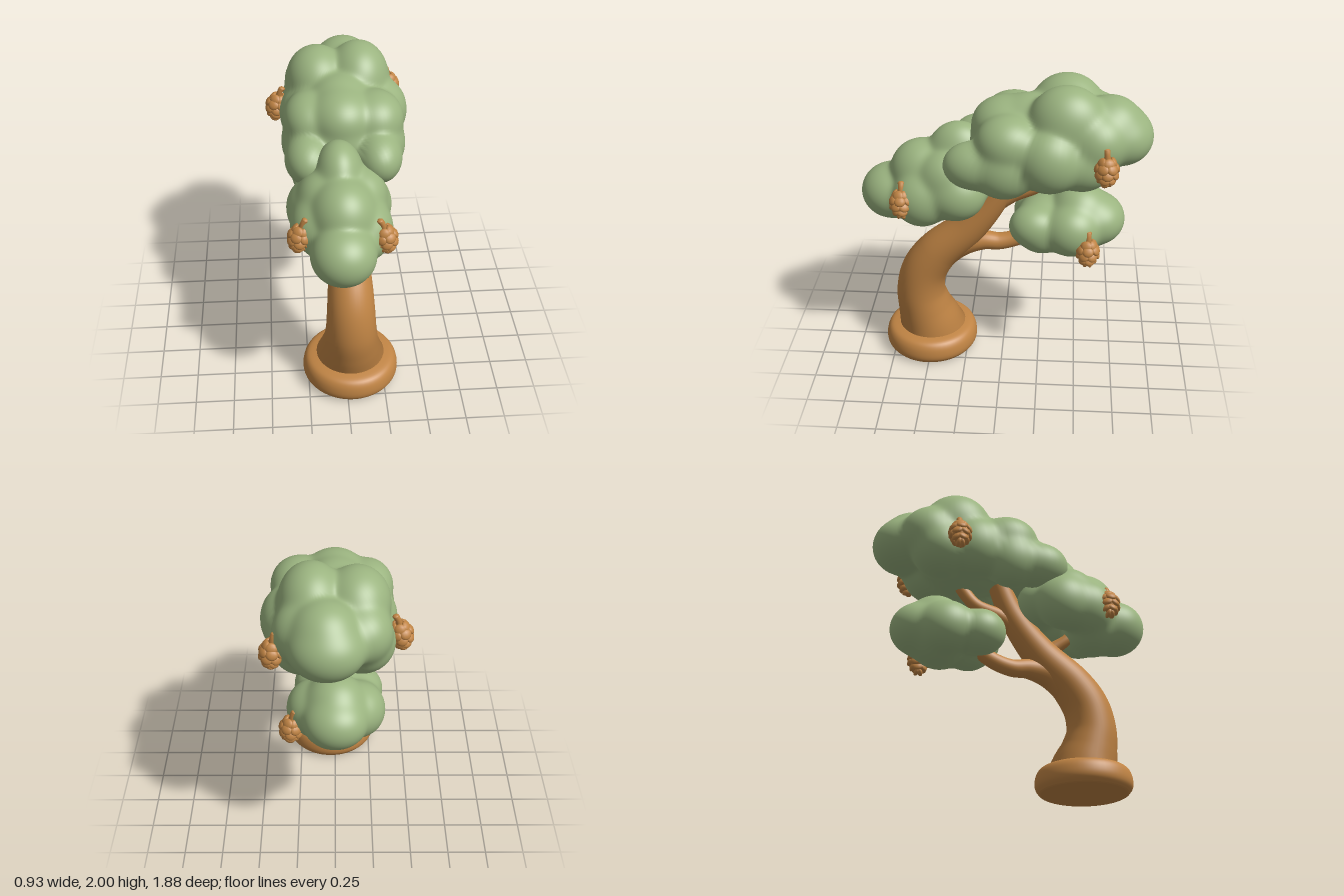
import * as THREE from 'three';

const material = (name, color) => Object.assign(new THREE.MeshStandardMaterial({ color }), { name });
const wood = material('wood', 0xc08444);
const leaf = material('leaf', 0x9bb480);

function add(parent, name, geometry, mat) {
  const mesh = new THREE.Mesh(geometry, mat);
  mesh.name = name;
  parent.add(mesh);
  return mesh;
}

// Tube along rows of [x, y, z, radius], with the radius varying smoothly
function taperedTube(rows, segments = 40, sides = 28) {
  const curve = new THREE.CatmullRomCurve3(rows.map(([x, y, z]) => new THREE.Vector3(x, y, z)));
  const radii = new THREE.SplineCurve(rows.map((r, i) => new THREE.Vector2(i, r[3])));
  const geometry = new THREE.TubeGeometry(curve, segments, 1, sides, false);
  const pos = geometry.attributes.position;
  const v = new THREE.Vector3();
  for (let i = 0; i <= segments; i++) {
    const centre = curve.getPointAt(i / segments);
    const radius = radii.getPoint(curve.getUtoTmapping(i / segments)).y;
    for (let j = 0; j <= sides; j++) {
      const k = i * (sides + 1) + j;
      v.fromBufferAttribute(pos, k).sub(centre).multiplyScalar(radius).add(centre);
      pos.setXYZ(k, v.x, v.y, v.z);
    }
  }
  return geometry;
}

// Soft union of ellipsoids [x, y, z, rx, ry, rz]: a skin is shrunk onto them around the spine from a to b
function foliage(rows, a, b) {
  const sharpness = 60;
  const distance = (p) => {
    let sum = 0;
    for (const [x, y, z, rx, ry, rz] of rows) {
      const q = Math.hypot((p.x - x) / rx, (p.y - y) / ry, (p.z - z) / rz);
      sum += Math.exp(-sharpness * (q - 1) * Math.min(rx, ry, rz));
    }
    return -Math.log(sum + 1e-30) / sharpness;
  };
  const mid = new THREE.Vector3(...a).lerp(new THREE.Vector3(...b), 0.5);
  const half = new THREE.Vector3(...b).sub(mid);
  const axis = half.clone().normalize();
  const geometry = new THREE.SphereGeometry(1, 128, 88);
  const { position, normal } = geometry.attributes;
  const dir = new THREE.Vector3(), root = new THREE.Vector3(), p = new THREE.Vector3(), n = new THREE.Vector3();
  for (let i = 0; i < position.count; i++) {
    dir.fromBufferAttribute(position, i).normalize();
    root.copy(mid).addScaledVector(half, dir.dot(axis));
    let reach = 0.7;
    for (let step = 0; step < 60; step++) {
      const d = distance(p.copy(root).addScaledVector(dir, reach));
      if (d < 0.0005) break;
      reach = Math.max(0.02, reach - d * 0.85);
    }
    position.setXYZ(i, p.x, p.y, p.z);
    const here = distance(p);
    for (const c of ['x', 'y', 'z']) {
      p[c] += 0.001;
      n[c] = distance(p) - here;
      p[c] -= 0.001;
    }
    n.normalize();
    normal.setXYZ(i, n.x, n.y, n.z);
  }
  return geometry;
}

// Hanging cone with staggered rings of overlapping scales and a short stem
function pineCone() {
  const cone = new THREE.Group();
  cone.name = 'pineCone';
  add(cone, 'coneCore', new THREE.SphereGeometry(1, 18, 14).scale(0.064, 0.082, 0.064), wood);
  const rings = [[0.054, 0.04, 5], [0.022, 0.058, 6], [-0.016, 0.055, 6], [-0.05, 0.037, 5], [-0.078, 0.008, 2]];
  rings.forEach(([y, radius, count], ring) => {
    for (let i = 0; i < count; i++) {
      const a = ((i + (ring % 2) / 2) / count) * Math.PI * 2;
      const scale = add(cone, 'coneScale', new THREE.SphereGeometry(1, 12, 8).scale(0.037, 0.034, 0.018), wood);
      scale.position.set(Math.sin(a) * radius, y, Math.cos(a) * radius);
      scale.rotation.set(-0.45, a, 0, 'YXZ');
    }
  });
  add(cone, 'coneStem', taperedTube([[0, 0.05, 0, 0.032], [0, 0.085, 0, 0.02], [-0.003, 0.108, 0, 0.019], [-0.01, 0.127, 0, 0.021]], 10, 12), wood);
  add(cone, 'stemTip', new THREE.SphereGeometry(1, 12, 8).scale(0.021, 0.012, 0.021), wood).position.set(-0.01, 0.127, 0);
  return cone;
}

export function createModel() {
  const tree = new THREE.Group();
  tree.name = 'leaningTree';

  // Rounded foot
  const rim = new THREE.SplineCurve([[0.29, 0.005], [0.312, 0.035], [0.317, 0.075], [0.306, 0.125], [0.278, 0.158], [0.22, 0.172]]
    .map(([r, y]) => new THREE.Vector2(r, y))).getPoints(24);
  add(tree, 'foot', new THREE.LatheGeometry([...rim, new THREE.Vector2(0, 0.172)], 56), wood).position.set(0.033, 0, 0.505);
  add(tree, 'sole', new THREE.CylinderGeometry(0.29, 0.28, 0.005, 56), wood).position.set(0.033, 0.0025, 0.505);

  // Curved trunk and branches
  add(tree, 'trunk', taperedTube([
    [0.033, 0.1, 0.505, 0.255], [0.033, 0.19, 0.52, 0.217], [0.033, 0.3, 0.55, 0.185], [0.033, 0.43, 0.57, 0.166],
    [0.033, 0.59, 0.54, 0.155], [0.033, 0.74, 0.445, 0.142], [0.03, 0.95, 0.22, 0.118], [0.02, 1.2, 0.03, 0.09], [0.01, 1.45, -0.08, 0.075],
  ], 72, 40), wood);
  add(tree, 'upperBranch', taperedTube([[0.02, 1.1, 0.09, 0.07], [0.02, 1.19, -0.06, 0.056], [0.03, 1.26, -0.22, 0.045], [0.04, 1.35, -0.3, 0.045], [0.04, 1.48, -0.38, 0.045]]), wood);
  add(tree, 'lowerBranch', taperedTube([[0.033, 0.66, 0.47, 0.1], [0.03, 0.8, 0.3, 0.094], [0.02, 0.83, 0.14, 0.068], [0.01, 0.82, 0.02, 0.058], [0, 0.86, -0.12, 0.054], [0, 0.97, -0.27, 0.05]]), wood);
  add(tree, 'frontBranch', taperedTube([[0.02, 0.9, 0.2, 0.07], [0.01, 0.99, 0.31, 0.05], [-0.01, 1.06, 0.4, 0.038], [-0.02, 1.16, 0.48, 0.038]]), wood);

  // Leaf clouds
  add(tree, 'topFoliage', foliage([
    [-0.21, 1.49, 0.16, 0.15, 0.155, 0.19], [0.23, 1.5, 0.17, 0.145, 0.155, 0.195], [0, 1.55, 0.04, 0.2, 0.18, 0.18],
    [-0.22, 1.5, -0.04, 0.155, 0.19, 0.19], [0.26, 1.49, -0.02, 0.155, 0.19, 0.2],
    [0, 1.69, -0.01, 0.2, 0.175, 0.21], [-0.2, 1.66, -0.06, 0.16, 0.16, 0.2], [0.22, 1.66, -0.04, 0.18, 0.17, 0.2],
    [0, 1.7, -0.16, 0.2, 0.185, 0.2], [0.29, 1.57, -0.3, 0.165, 0.205, 0.2], [-0.21, 1.57, -0.28, 0.17, 0.2, 0.2],
    [0.14, 1.765, -0.4, 0.2, 0.235, 0.24], [-0.13, 1.76, -0.4, 0.2, 0.215, 0.23],
    [0.19, 1.53, -0.5, 0.2, 0.185, 0.2], [-0.16, 1.54, -0.5, 0.2, 0.185, 0.2], [0.02, 1.5, -0.3, 0.22, 0.14, 0.3],
    [0.06, 1.715, -0.67, 0.2, 0.195, 0.2], [0.05, 1.65, -0.74, 0.225, 0.18, 0.2], [0.19, 1.66, -0.58, 0.18, 0.19, 0.19],
    [-0.16, 1.66, -0.58, 0.175, 0.18, 0.19],
  ], [0.02, 1.53, 0.1], [0.04, 1.65, -0.7]), leaf);
  add(tree, 'frontFoliage', foliage([
    [-0.03, 1.17, 0.74, 0.2, 0.185, 0.2], [-0.02, 1.33, 0.53, 0.2, 0.212, 0.21], [-0.03, 1.46, 0.29, 0.15, 0.212, 0.2],
    [-0.18, 1.23, 0.5, 0.16, 0.18, 0.18], [0.13, 1.2, 0.52, 0.16, 0.19, 0.19], [-0.03, 1.13, 0.57, 0.2, 0.165, 0.19],
    [-0.2, 1.24, 0.33, 0.16, 0.185, 0.19], [0.14, 1.24, 0.3, 0.16, 0.175, 0.19], [-0.02, 1.28, 0.2, 0.19, 0.16, 0.15],
    [-0.14, 1.35, 0.38, 0.15, 0.17, 0.18], [0.11, 1.35, 0.36, 0.15, 0.17, 0.18],
  ], [-0.02, 1.18, 0.7], [-0.02, 1.34, 0.26]), leaf);
  add(tree, 'lowerFoliage', foliage([
    [0, 1.08, -0.5, 0.19, 0.182, 0.19], [0.15, 1.0, -0.45, 0.155, 0.17, 0.18], [-0.16, 0.99, -0.45, 0.155, 0.17, 0.18],
    [0, 1.02, -0.62, 0.2, 0.165, 0.18], [0, 0.94, -0.48, 0.2, 0.145, 0.2], [0.12, 1.01, -0.21, 0.14, 0.14, 0.165],
    [-0.15, 0.98, -0.23, 0.155, 0.15, 0.165], [0, 1.04, -0.27, 0.15, 0.13, 0.17], [0.1, 0.94, -0.26, 0.14, 0.12, 0.14],
  ], [0, 1, -0.22], [0, 1.01, -0.6]), leaf);

  // Cones: x, y, z, turn, tilt
  for (const [x, y, z, turn, tilt] of [
    [-0.285, 1.225, 0.61, Math.PI, -0.2], [0.23, 1.22, 0.64, 0, 0.2], [0.37, 1.565, -0.645, 0.6, 0.1],
    [-0.395, 1.55, -0.43, Math.PI, -0.2], [0.275, 0.925, -0.56, 0, 0.1],
  ]) {
    const cone = pineCone();
    cone.position.set(x, y, z);
    cone.rotation.set(0, turn, tilt, 'ZYX');
    tree.add(cone);
  }
  return tree;
}
